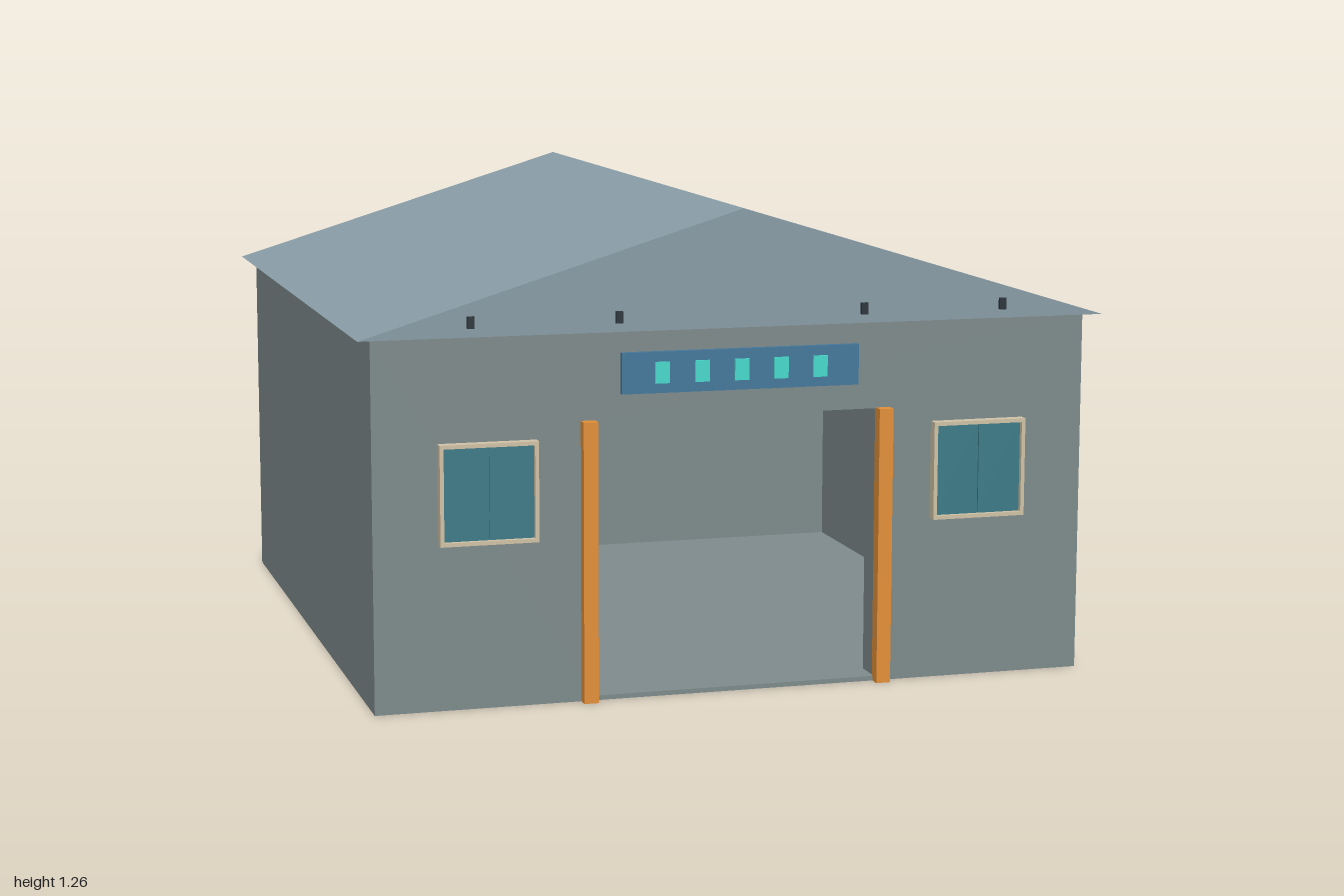
import * as THREE from 'three';

const mat = (color, extra = {}) => new THREE.MeshStandardMaterial({ color, flatShading: true, ...extra });
const M = {
  wall: mat(0x7f8c8d), roof: mat(0x8a9ea8), post: mat(0xe69138), frame: mat(0xd2c4a8),
  glass: mat(0x3d7c88), sign: mat(0x44789c), light: mat(0x48dccf), peg: mat(0x2c363c),
};

// Box given by its minimum and maximum corners
function box(parent, name, material, [x0, y0, z0], [x1, y1, z1]) {
  const mesh = new THREE.Mesh(new THREE.BoxGeometry(x1 - x0, y1 - y0, z1 - z0), material);
  mesh.position.set((x0 + x1) / 2, (y0 + y1) / 2, (z0 + z1) / 2);
  mesh.name = name;
  parent.add(mesh);
  return mesh;
}

// Extrudes an outline along z, starting at z0
function extrude(parent, name, material, points, z0, depth) {
  const shape = new THREE.Shape(points.map(([x, y]) => new THREE.Vector2(x, y)));
  const mesh = new THREE.Mesh(new THREE.ExtrudeGeometry(shape, { depth, bevelEnabled: false }), material);
  mesh.position.z = z0;
  mesh.name = name;
  parent.add(mesh);
}

function createWindow(cx) {
  const g = new THREE.Group();
  g.name = 'window';
  const w = 0.127, y0 = 0.427, y1 = 0.685, t = 0.01;
  // Frame with a rectangular opening
  const outline = new THREE.Shape([[-w, y0], [w, y0], [w, y1], [-w, y1]].map(p => new THREE.Vector2(...p)));
  outline.holes.push(new THREE.Path(
    [[t - w, y0 + t], [t - w, y1 - t], [w - t, y1 - t], [w - t, y0 + t]].map(p => new THREE.Vector2(...p))));
  const frame = new THREE.Mesh(new THREE.ExtrudeGeometry(outline, { depth: 0.03, bevelEnabled: false }), M.frame);
  frame.position.z = 0.948;
  frame.name = 'windowFrame';
  g.add(frame);
  // Two panes meeting at a narrow centre joint
  for (const s of [-1, 1]) {
    const a = s * 0.002, b = s * (w - t);
    box(g, 'windowPane', M.glass, [Math.min(a, b), y0 + t, 0.945], [Math.max(a, b), y1 - t, 0.965]);
  }
  box(g, 'windowJoint', M.glass, [-0.002, y0 + t, 0.945], [0.002, y1 - t, 0.96]);
  g.position.x = cx;
  return g;
}

export function createModel() {
  const model = new THREE.Group();
  model.name = 'warehouse';
  const W = 0.95, H = 0.955, T = 0.085, doorW = 0.38, doorH = 0.725;

  // Hollow body: front wall with doorway, plain back and side walls, floor
  extrude(model, 'frontWall', M.wall, [
    [-W, 0], [-doorW, 0], [-doorW, doorH], [doorW, doorH], [doorW, 0], [W, 0], [W, H], [-W, H],
  ], W - T, T);
  box(model, 'backWall', M.wall, [-W, 0, -W], [W, H, T - W]);
  for (const s of [-1, 1]) {
    const c = s * (W - T / 2);
    box(model, 'sideWall', M.wall, [c - T / 2, 0, T - W], [c + T / 2, H, W - T]);
  }
  box(model, 'floor', M.wall, [T - W, 0, T - W], [W - T, 0.012, W - T]);
  box(model, 'threshold', M.wall, [-doorW, 0, W - T], [doorW, 0.012, W]);

  // Solid gable roof with a small overhang
  extrude(model, 'roof', M.roof, [[-0.988, H], [0.988, H], [0, 1.257]], -0.99, 1.98);

  // Door posts and windows, mirrored
  for (const s of [-1, 1]) {
    const c = s * 0.395;
    box(model, 'doorPost', M.post, [c - 0.019, 0, W - 0.005], [c + 0.019, 0.727, 0.98]);
    model.add(createWindow(s * 0.656));
  }

  // Signboard with five lit panels
  const sign = new THREE.Group();
  sign.name = 'signboard';
  box(sign, 'signPanel', M.sign, [-0.315, 0.795, 0.968], [0.315, 0.9, 0.985]);
  for (let i = -2; i <= 2; i++) {
    const c = i * 0.105;
    box(sign, 'signLight', M.light, [c - 0.019, 0.82, 0.98], [c + 0.019, 0.875, 0.99]);
  }
  model.add(sign);

  // Small pegs on both gable ends
  for (const z of [-0.99, 0.99]) {
    for (const x of [-0.705, -0.325, 0.325, 0.705]) {
      box(model, 'gablePeg', M.peg, [x - 0.009, 0.978, z - 0.01], [x + 0.009, 1.008, z + 0.01]);
    }
  }
  return model;
}
